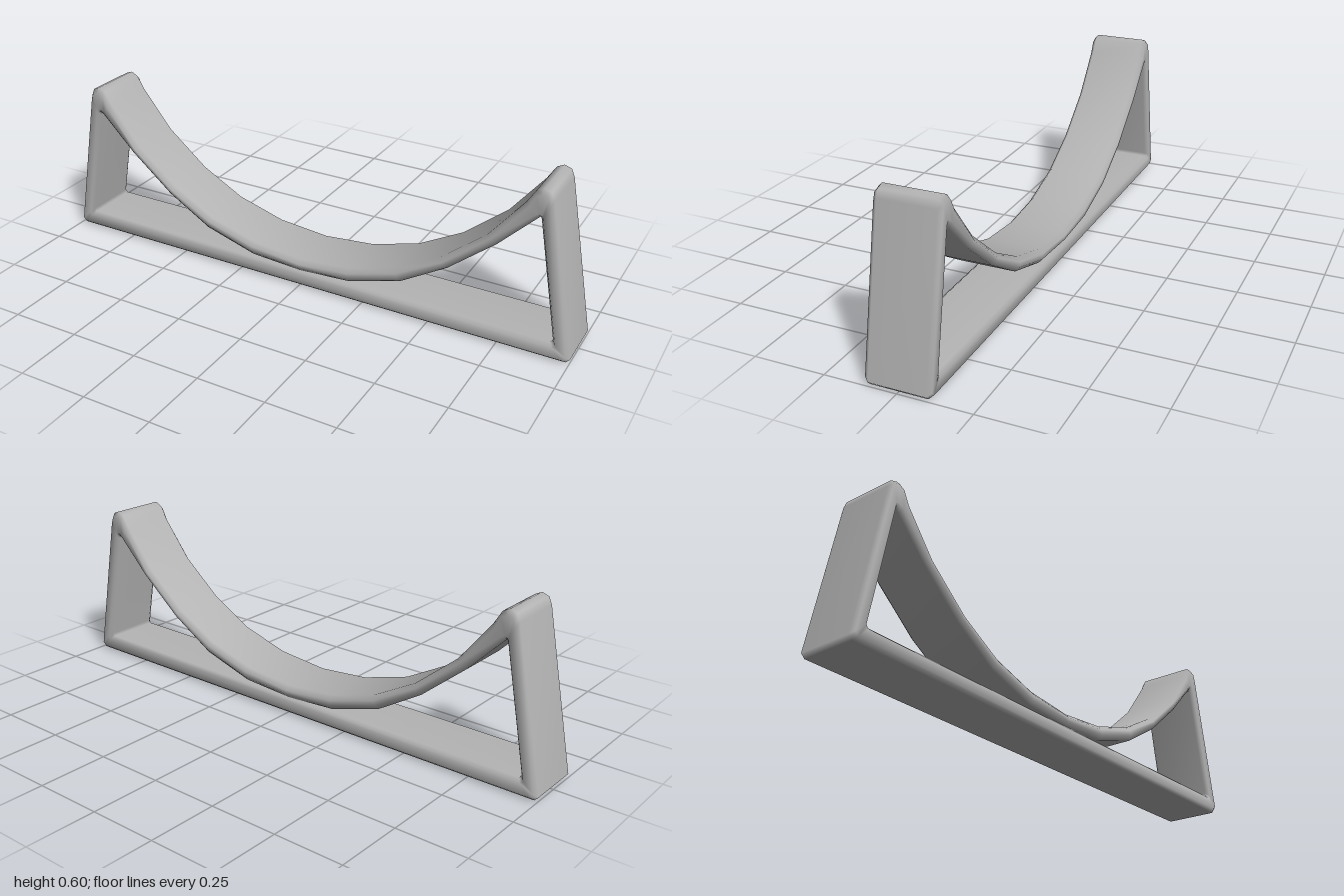
import * as THREE from 'three';

const HALF_DEPTH = 0.112;
const CHAMFER = 0.016;

// Left half of the frame as pairs of outer and inner points: [outerX, outerY, innerX, innerY]
const leftHalf = [
  // rounded foot corner and leg
  [-0.986, 0, -0.93, 0.06],
  [-1, 0.014, -0.938, 0.07],
  [-0.894, 0.56, -0.86, 0.487],
  // rounded tip
  [-0.883, 0.586, -0.858, 0.495],
  [-0.858, 0.595, -0.855, 0.498],
  [-0.834, 0.583, -0.852, 0.495],
  [-0.805, 0.536, -0.845, 0.488],
  // curved cradle
  [-0.69, 0.392, -0.722, 0.364],
  [-0.535, 0.264, -0.56, 0.23],
  [-0.374, 0.176, -0.394, 0.13],
  [-0.193, 0.123, -0.198, 0.071],
];

// Chamfered band swept round a closed path of outer/inner pairs
function bandGeometry(path) {
  const positions = [];
  const index = [];
  const zIn = HALF_DEPTH - CHAMFER * 0.9;
  for (const [ox, oy, ix, iy] of path) {
    const outer = new THREE.Vector2(ox, oy);
    const inner = new THREE.Vector2(ix, iy);
    const t = Math.min(0.35, CHAMFER / outer.distanceTo(inner));
    const outerInset = outer.clone().lerp(inner, t);
    const innerInset = inner.clone().lerp(outer, t);
    const section = [
      [outer, zIn], [outerInset, HALF_DEPTH], [innerInset, HALF_DEPTH], [inner, zIn],
      [inner, -zIn], [innerInset, -HALF_DEPTH], [outerInset, -HALF_DEPTH], [outer, -zIn],
    ];
    for (const [p, z] of section) positions.push(p.x, p.y, z);
  }
  const n = path.length;
  for (let i = 0; i < n; i++) {
    const next = (i + 1) % n;
    for (let k = 0; k < 8; k++) {
      const k1 = (k + 1) % 8;
      const a = i * 8 + k, b = i * 8 + k1, c = next * 8 + k1, d = next * 8 + k;
      index.push(a, b, c, a, c, d);
    }
  }
  const geometry = new THREE.BufferGeometry();
  geometry.setAttribute('position', new THREE.Float32BufferAttribute(positions, 3));
  geometry.setIndex(index);
  // area-weighted normals keep the broad faces flat and soften the chamfers
  geometry.computeVertexNormals();
  return geometry;
}

export function createModel() {
  const group = new THREE.Group();
  group.name = 'cradleStand';

  const grey = new THREE.MeshStandardMaterial({ color: 0xb4b4b4 });
  grey.name = 'grey';

  // mirror the left half about the middle of the cradle
  const rightHalf = leftHalf.map(([ox, oy, ix, iy]) => [-ox, oy, -ix, iy]).reverse();
  const path = [...leftHalf, [0, 0.105, 0, 0.058], ...rightHalf];

  const frame = new THREE.Mesh(bandGeometry(path), grey);
  frame.name = 'cradleFrame';
  group.add(frame);
  return group;
}
